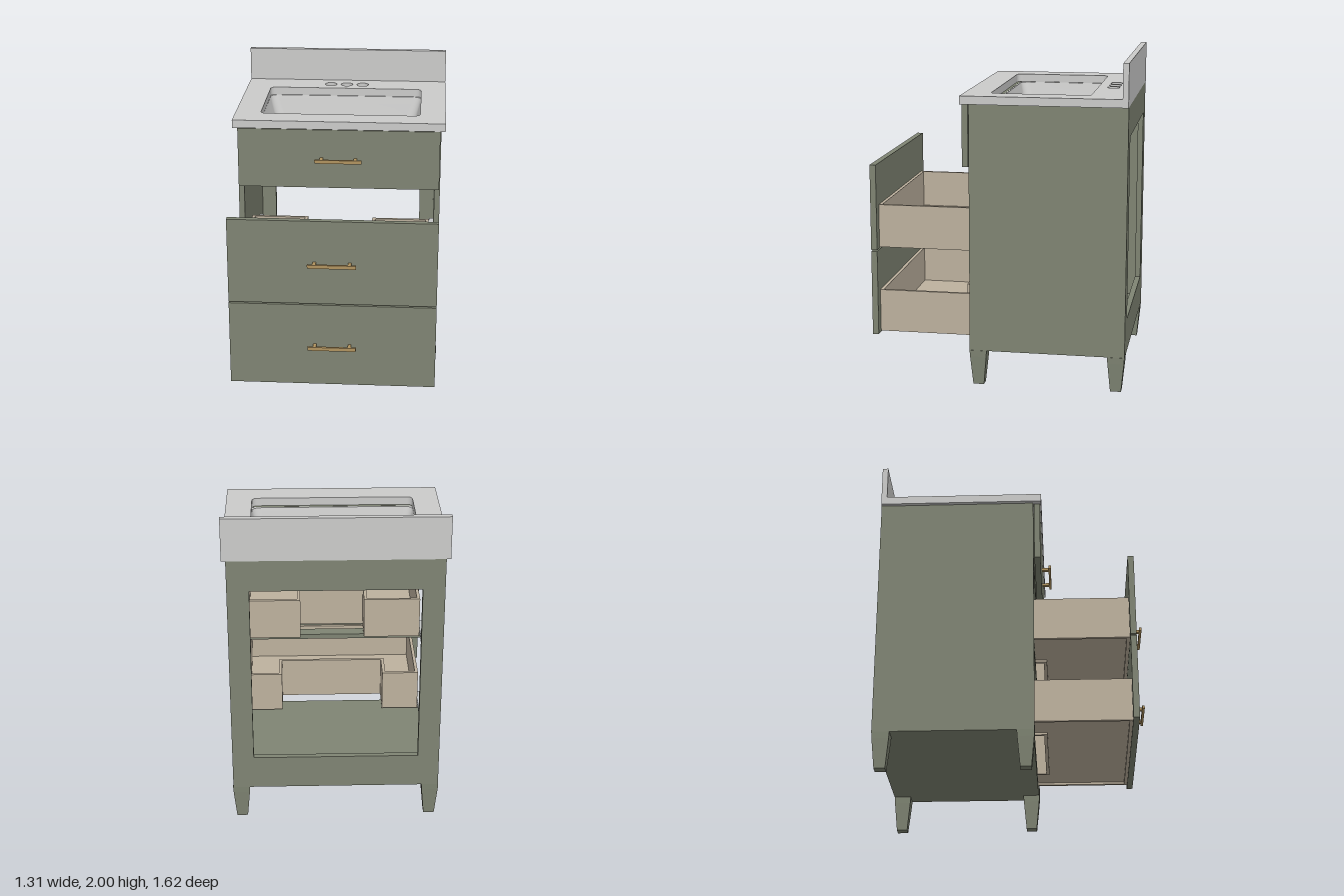
import * as THREE from 'three';
import { toCreasedNormals } from 'three/addons/utils/BufferGeometryUtils.js';

const mat = (name, color) => {
  const m = new THREE.MeshStandardMaterial({ color });
  m.name = name;
  return m;
};

export function createModel() {
  const green = mat('sage green paint', 0x7f8473);
  const stone = mat('pale grey stone', 0xcbcbca);
  const wood = mat('pale wood', 0xbdb19e);
  const brass = mat('brass', 0xb0935f);
  const steel = mat('slide steel', 0xc4c6c6);

  const model = new THREE.Group();
  model.name = 'vanityCabinet';
  const add = (parent, name, geo, material) => {
    const m = new THREE.Mesh(geo, material);
    m.name = name;
    parent.add(m);
    return m;
  };
  // Box given by its limits on each axis
  const box = (parent, name, material, x0, x1, y0, y1, z0, z1) => {
    const m = add(parent, name, new THREE.BoxGeometry(x1 - x0, y1 - y0, z1 - z0), material);
    m.position.set((x0 + x1) / 2, (y0 + y1) / 2, (z0 + z1) / 2);
    return m;
  };
  // Outline of a rounded rectangle, anticlockwise
  const outline = (hx, hz, r, cz, steps = 8) => {
    const pts = [];
    [[1, 1], [-1, 1], [-1, -1], [1, -1]].forEach(([sx, sz], k) => {
      for (let i = 0; i <= steps; i++) {
        const a = (k + i / steps) * Math.PI / 2;
        pts.push(new THREE.Vector2(sx * (hx - r) + r * Math.cos(a), cz + sz * (hz - r) + r * Math.sin(a)));
      }
    });
    return pts;
  };

  // Cabinet carcass
  const body = new THREE.Group();
  body.name = 'carcass';
  model.add(body);
  for (const s of [-1, 1]) {
    const side = box(body, 'sidePanel', green, -0.0175, 0.0175, 0.22, 1.74, -0.81, 0.14);
    side.position.x = s * 0.6125;
    const stile = box(body, 'backStile', green, -0.0475, 0.0475, 0.43, 1.55, -0.81, -0.775);
    stile.position.x = s * 0.5475;
  }
  box(body, 'backTopRail', green, -0.595, 0.595, 1.55, 1.74, -0.81, -0.775);
  box(body, 'backBottomRail', green, -0.595, 0.595, 0.22, 0.43, -0.81, -0.775);
  box(body, 'floorPanel', green, -0.595, 0.595, 0.22, 0.28, -0.775, 0.135);
  box(body, 'frontTopRail', green, -0.595, 0.595, 1.7, 1.739, 0.012, 0.14);
  box(body, 'upperDivider', green, -0.595, 0.595, 1.345, 1.38, 0.06, 0.14);
  box(body, 'lowerDivider', green, -0.595, 0.595, 0.79, 0.822, 0.06, 0.14);

  // Tapered square legs
  const legProfile = [[0, 0], [0.033, 0], [0.05, 0.18], [0.0525, 0.22], [0, 0.22]]
    .map(([w, y]) => new THREE.Vector2(w * Math.SQRT2, y));
  const legGeo = new THREE.LatheGeometry(legProfile, 4, Math.PI / 4).toNonIndexed();
  legGeo.computeVertexNormals();
  for (const x of [-0.58, 0.58]) for (const z of [-0.757, 0.088]) {
    add(model, 'leg', legGeo, green).position.set(x, 0, z);
  }

  // Countertop with basin opening and three tap holes
  const top = new THREE.Shape([[-0.655, -0.81], [0.655, -0.81], [0.655, 0.19], [-0.655, 0.19]]
    .map(p => new THREE.Vector2(...p)));
  top.holes.push(new THREE.Path(outline(0.497, 0.302, 0.035, -0.272).reverse()));
  for (const x of [-0.105, 0, 0.105]) {
    top.holes.push(new THREE.Path().absarc(x, -0.67, 0.039, 0, Math.PI * 2, true));
  }
  const topGeo = new THREE.ExtrudeGeometry(top, { depth: 0.05, bevelEnabled: false, curveSegments: 16 });
  topGeo.rotateX(Math.PI / 2);
  add(model, 'countertop', topGeo, stone).position.y = 1.79;
  box(model, 'backsplash', stone, -0.655, 0.655, 1.79, 2.0, -0.81, -0.775);

  // Basin shell: rings of [half width, half depth, corner radius, y, centre z]
  const c = -0.285;
  const rings = [
    [0.525, 0.3, 0.06, 1.738, c], [0.497, 0.287, 0.05, 1.738, c],
    [0.485, 0.275, 0.055, 1.69, c], [0.43, 0.235, 0.07, 1.49, c],
    [0.418, 0.226, 0.075, 1.455, c], [0.398, 0.209, 0.08, 1.43, c], [0.365, 0.18, 0.08, 1.42, c],
    [0.052, 0.052, 0.05, 1.4, -0.27], [0.05, 0.05, 0.048, 1.36, -0.27],
    [0.07, 0.07, 0.068, 1.36, -0.27], [0.07, 0.07, 0.068, 1.378, -0.27],
    [0.365, 0.18, 0.08, 1.398, c], [0.41, 0.218, 0.08, 1.41, c],
    [0.44, 0.243, 0.075, 1.445, c], [0.453, 0.253, 0.07, 1.49, c],
    [0.508, 0.29, 0.06, 1.7, c], [0.525, 0.3, 0.06, 1.715, c], [0.525, 0.3, 0.06, 1.738, c],
  ];
  const pos = [], idx = [];
  let n = 0;
  for (const [hx, hz, r, y, cz] of rings) {
    const loop = outline(hx, hz, r, cz);
    n = loop.length;
    loop.forEach(p => pos.push(p.x, y, p.y));
  }
  for (let i = 0; i < rings.length - 1; i++) for (let j = 0; j < n; j++) {
    const a = i * n + j, b = i * n + (j + 1) % n;
    idx.push(a, a + n, b, b, a + n, b + n);
  }
  const basinGeo = new THREE.BufferGeometry();
  basinGeo.setAttribute('position', new THREE.Float32BufferAttribute(pos, 3));
  basinGeo.setIndex(idx);
  add(model, 'basin', toCreasedNormals(basinGeo, 0.65), stone);

  // Drawer front with its bar handle; z is the back of the panel
  const front = (name, y0, y1, z, handleY) => {
    const g = new THREE.Group();
    g.name = name;
    model.add(g);
    box(g, 'frontPanel', green, -0.624, 0.624, y0, y1, z, z + 0.037);
    for (const x of [-0.105, 0.105]) {
      box(g, 'handlePost', brass, x - 0.01, x + 0.01, handleY - 0.009, handleY + 0.009, z + 0.037, z + 0.085);
    }
    box(g, 'handleBar', brass, -0.145, 0.145, handleY - 0.011, handleY + 0.011, z + 0.08, z + 0.095);
    return g;
  };

  // Open drawer box with a notch at the back for the plumbing
  const drawerBox = (g, y0, y1, notch) => {
    const w = 0.565, t = 0.02, zb = 0, zn = 0.19, zf = 0.715;
    box(g, 'boxFront', wood, -w + t, w - t, y0, y1, zf - t, zf);
    box(g, 'notchWall', wood, -notch, notch, y0, y1, zn, zn + t);
    box(g, 'boxFloor', wood, -w + t, w - t, y0 + 0.015, y0 + 0.03, zn + t, zf - t);
    for (const s of [-1, 1]) {
      const strip = (name, xa, xb, ya, yb, za, zc) =>
        box(g, name, wood, Math.min(s * xa, s * xb), Math.max(s * xa, s * xb), ya, yb, za, zc);
      strip('boxSide', w - t, w, y0, y1, zb, zf);
      strip('notchSide', notch, notch + t, y0, y1, zb, zn + t);
      strip('boxBack', notch + t, w - t, y0, y1, zb, zb + t);
      strip('rearFloor', notch + t, w - t, y0 + 0.015, y0 + 0.03, zb + t, zn + t);
    }
  };

  front('topFront', 1.36, 1.735, 0.145, 1.547);
  drawerBox(front('middleDrawer', 0.826, 1.354, 0.715, 1.088), 0.832, 1.098, 0.205);
  drawerBox(front('bottomDrawer', 0.29, 0.817, 0.715, 0.552), 0.296, 0.56, 0.33);

  // Drawer slides on the side panels
  for (const y of [0.842, 0.312]) for (const s of [-1, 1]) {
    const rail = box(model, 'slideRail', steel, -0.004, 0.004, y, y + 0.035, -0.6, 0.13);
    rail.position.x = s * 0.591;
    for (const dy of [0, 0.028]) {
      const lip = box(model, 'slideLip', steel, -0.01, 0.01, y + dy, y + dy + 0.007, -0.6, 0.13);
      lip.position.x = s * 0.577;
    }
  }
  return model;
}
